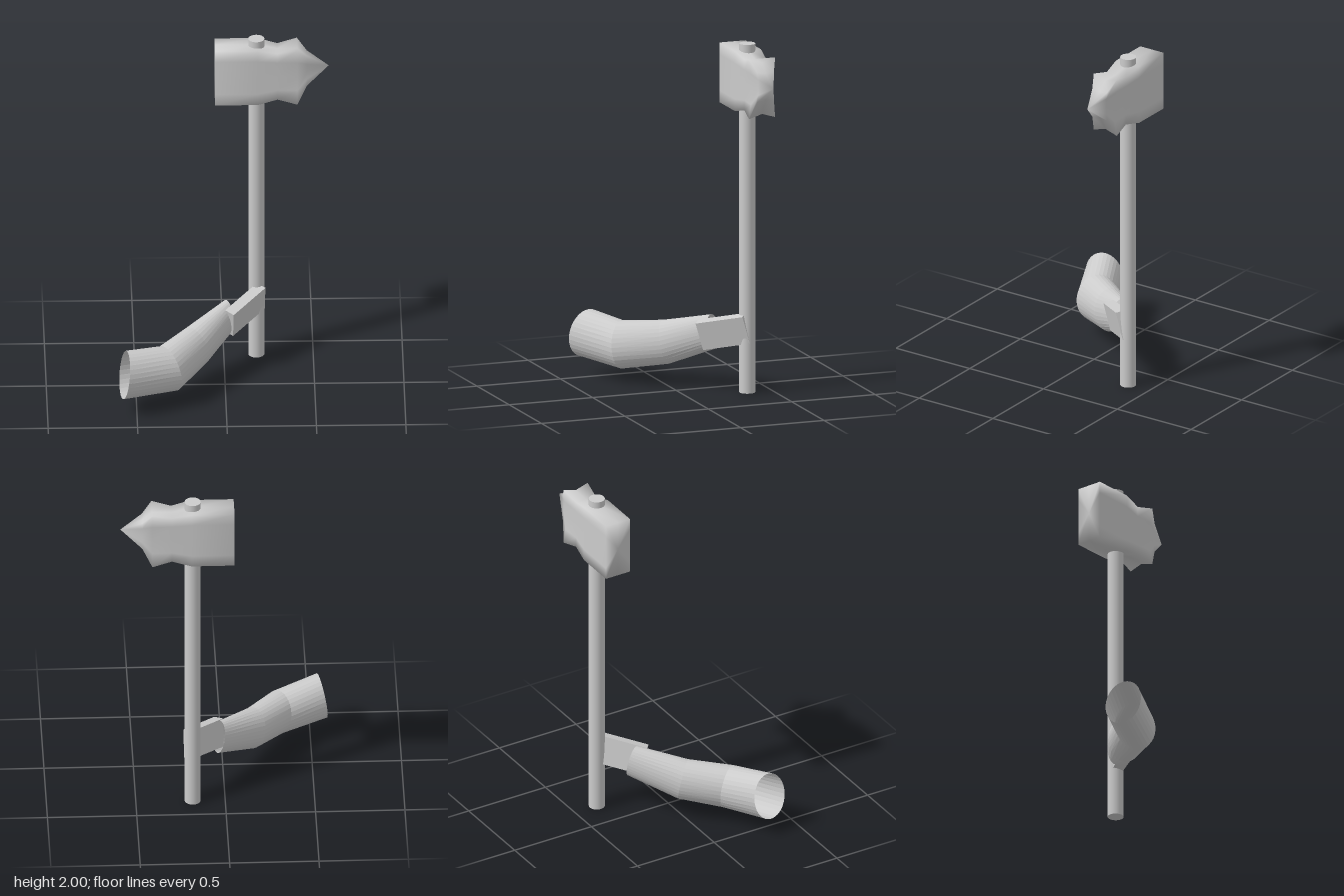
import * as THREE from 'three';

const V = (x, y, z) => new THREE.Vector3(x, y, z);

// Skin a list of equal-length rings; optional end points close the ends with fans
function loft(rings, startPoint, endPoint) {
  const n = rings[0].length;
  const points = rings.flat();
  const index = [];
  for (let i = 0; i < rings.length - 1; i++) {
    for (let j = 0; j < n; j++) {
      const k = (j + 1) % n;
      const a = i * n + j, b = i * n + k, c = a + n, d = b + n;
      index.push(a, b, c, b, d, c);
    }
  }
  const last = (rings.length - 1) * n;
  if (startPoint) {
    const s = points.push(startPoint) - 1;
    for (let j = 0; j < n; j++) index.push(s, (j + 1) % n, j);
  }
  if (endPoint) {
    const e = points.push(endPoint) - 1;
    for (let j = 0; j < n; j++) index.push(e, last + j, last + (j + 1) % n);
  }
  const geometry = new THREE.BufferGeometry().setFromPoints(points);
  geometry.setIndex(index);
  geometry.computeVertexNormals();
  return geometry;
}

export function createModel() {
  const model = new THREE.Group();
  model.name = 'hammerWithSleeve';
  const grey = new THREE.MeshStandardMaterial({ color: 0xcccccc });
  const sleeveGrey = new THREE.MeshStandardMaterial({
    color: 0xcccccc, flatShading: true, side: THREE.DoubleSide,
  });
  const add = (name, geometry, material = grey) => {
    const mesh = new THREE.Mesh(geometry, material);
    mesh.name = name;
    model.add(mesh);
    return mesh;
  };

  // Long round handle
  const handle = add('handle', new THREE.CylinderGeometry(0.045, 0.045, 2, 32));
  handle.position.set(0.182, 1, -0.356);

  // Hammer head: block, pinched neck, flared collar, then a four-cornered spike
  const outline = [
    [1, -1], [1, 0], [1, 1], [0.6, 1], [0, 1], [-0.6, 1],
    [-1, 1], [-1, 0], [-1, -1], [-0.6, -1], [0, -1], [0.6, -1],
  ];
  const headY = 1.79, headZ = -0.357;
  // x, half height, half depth, how far the middle of each side is drawn in, y shift
  const sections = [
    [-0.05, 0.171, 0.078, 1, 0],
    [0.19, 0.171, 0.078, 1, 0],
    [0.3, 0.145, 0.064, 1, 0],
    [0.41, 0.171, 0.078, 0.86, 0],
    [0.465, 0.085, 0.05, 0.9, 0.02],
  ];
  const headRings = sections.map(([x, h, d, pull, dy]) => outline.map(([y, z]) => {
    const s = Math.abs(y * z) === 1 ? 1 : pull;
    return V(x, headY + dy + y * h * s, headZ + z * d * s);
  }));
  add('hammerHead', loft(headRings, V(-0.05, headY, headZ), V(0.587, 1.825, headZ)));

  // Bent open sleeve: centre, sideways half-axis and upward half-axis of each ring
  const sides = 32;
  const sleeveRings = [
    [V(-0.568, 0.237, 0.32), V(0.0225, 0, 0.11), V(0.018, 0.137, -0.01)],
    [V(-0.318, 0.212, 0.2), V(0.0675, 0, 0.09), V(-0.02, 0.133, 0)],
    [V(-0.165, 0.243, -0.002), V(0.07, 0, 0.0625), V(-0.02, 0.122, 0.015)],
    [V(0.03, 0.328, -0.215), V(0.03, 0, 0.05), V(-0.015, 0.095, 0.012)],
  ].map(([centre, side, up]) => Array.from({ length: sides }, (_, i) => {
    const t = (i / sides) * Math.PI * 2;
    return centre.clone().addScaledVector(up, Math.cos(t)).addScaledVector(side, Math.sin(t));
  }));
  add('sleeve', loft(sleeveRings), sleeveGrey);

  // Tilted block joining the sleeve to the handle
  const along = V(0.64, 0.205, -0.74).normalize();
  const up = V(0.74, -0.2, 0.64).cross(along).normalize();
  const across = along.clone().cross(up);
  const grip = add('gripBlock', new THREE.BoxGeometry(0.284, 0.163, 0.061));
  grip.quaternion.setFromRotationMatrix(new THREE.Matrix4().makeBasis(along, up, across));
  grip.position.set(0.1165, 0.342, -0.244);

  return model;
}
